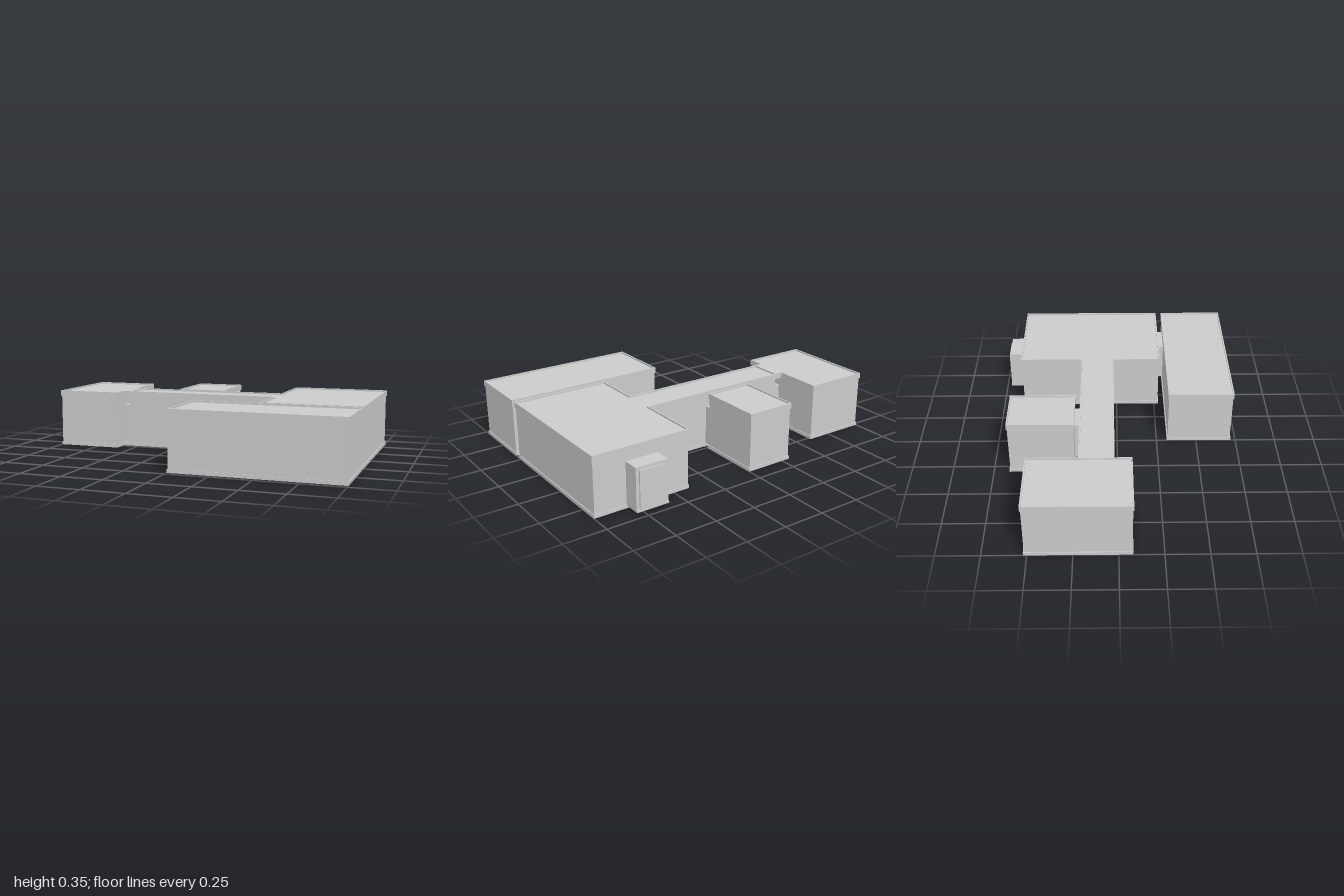
import * as THREE from 'three';

const grey = new THREE.MeshStandardMaterial({ color: 0xcccccc, flatShading: true });
const H = 0.355, ROOF_Y = 0.32, BASE = 0.02, RIM = 0.01;

// Plan rectangle; plan coordinates are [x, -z], counter-clockwise
const rect = (x0, x1, z0, z1) => [[x0, -z1], [x1, -z1], [x1, -z0], [x0, -z0]];

// Shrink a right-angled plan by d on every side
function inset(plan, d) {
  const n = plan.length;
  return plan.map(([x, y], i) => {
    const [px, py] = plan[(i + n - 1) % n], [nx, ny] = plan[(i + 1) % n];
    return [
      x - d * (Math.sign(y - py) + Math.sign(ny - y)),
      y + d * (Math.sign(x - px) + Math.sign(nx - x)),
    ];
  });
}

const toPoints = (plan) => plan.map(([x, y]) => new THREE.Vector2(x, y));

// Raise a plan from y0 to y1, with an optional opening
function slab(name, plan, y0, y1, hole) {
  const shape = new THREE.Shape(toPoints(plan));
  if (hole) shape.holes.push(new THREE.Path(toPoints(hole)));
  const geo = new THREE.ExtrudeGeometry(shape, { depth: y1 - y0, bevelEnabled: false });
  geo.rotateX(-Math.PI / 2).translate(0, y0, 0);
  const mesh = new THREE.Mesh(geo, grey);
  mesh.name = name;
  return mesh;
}

// A block: base plate, inset walls, overhanging roof with a low raised rim
function building(name, plan, wallPlan = plan) {
  const g = new THREE.Group();
  g.name = name;
  g.add(
    slab('basePlate', plan, 0, BASE),
    slab('walls', inset(wallPlan, 0.005), BASE, ROOF_Y),
    slab('roof', plan, ROOF_Y, H - RIM),
    slab('roofRim', plan, H - RIM, H, inset(wallPlan, 0.008)),
  );
  return g;
}

export function createModel() {
  const model = new THREE.Group();
  model.name = 'buildingComplex';

  // East wing and corridor share one plan; corridor walls stop short of the west block
  const mainPlan = (west) => [
    [west, 0.02], [0.4, 0.02], [0.4, -0.28], [1, -0.28],
    [1, 0.62], [0.4, 0.62], [0.4, 0.225], [west, 0.225],
  ];
  model.add(
    building('mainWing', mainPlan(-0.6), mainPlan(-0.56)),
    building('westBlock', rect(-1, -0.6, -0.52, 0.08)),
    building('rearBlock', rect(-0.3, 0, -0.655, -0.255)),
    building('frontBlock', rect(0, 1, 0.315, 0.72)),
  );

  // Low passages joining the blocks
  model.add(
    slab('westPassage', rect(-0.61, -0.55, -0.2, -0.04), BASE, 0.265),
    slab('rearPassage', rect(-0.18, -0.01, -0.265, -0.215), BASE, 0.26),
    slab('frontPassage', rect(0.7, 0.9, 0.27, 0.325), BASE, 0.26),
  );

  // Entrance porch on the rear of the east wing
  const porch = new THREE.Group();
  porch.name = 'porch';
  porch.add(
    slab('porchBody', rect(0.6, 0.8, -0.712, -0.61), BASE, 0.27),
    slab('porchDoor', rect(0.62, 0.78, -0.72, -0.70), BASE, 0.25),
    slab('porchSill', rect(0.6, 0.8, -0.72, -0.61), 0.014, 0.024),
  );
  model.add(porch);
  return model;
}
